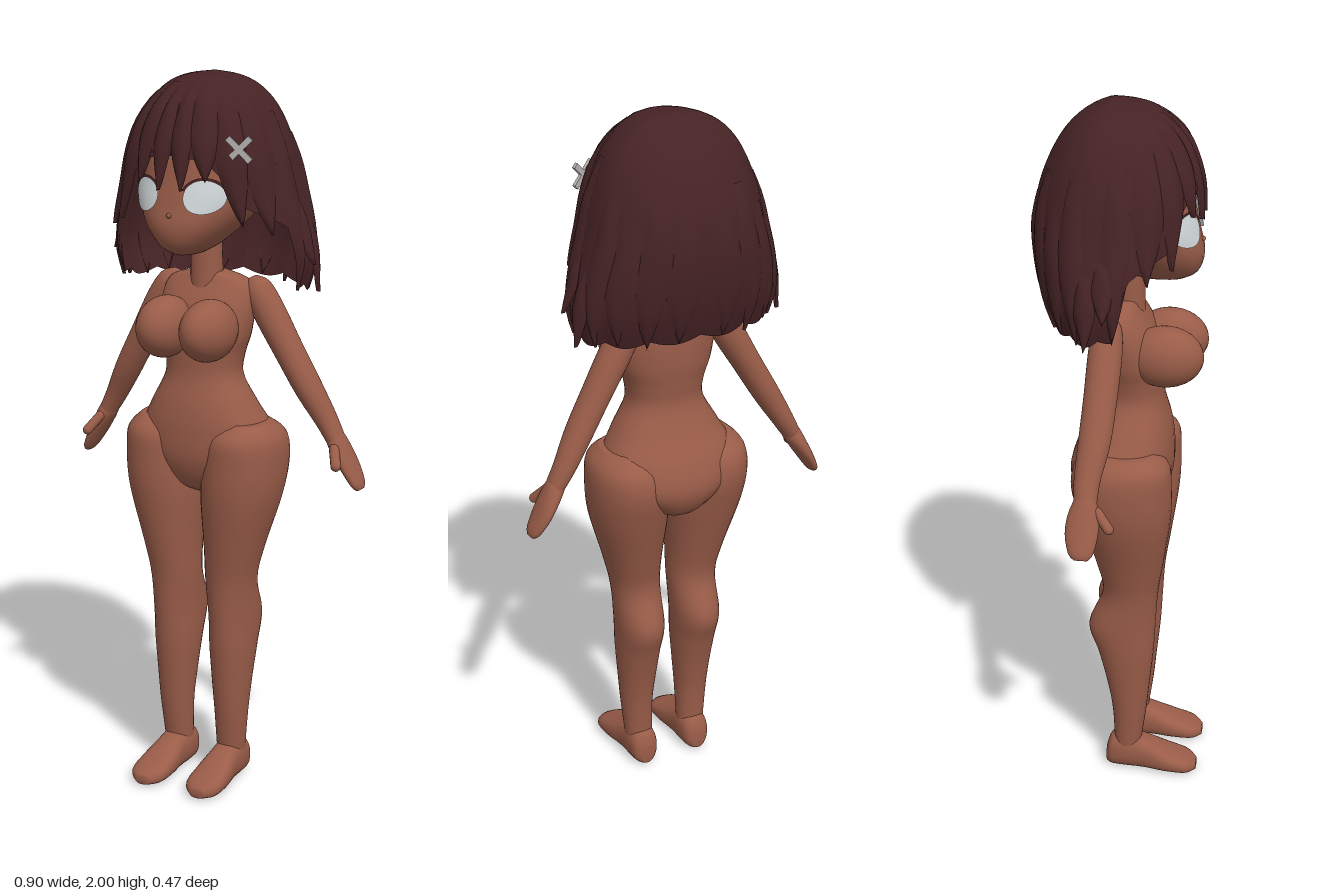
import * as THREE from 'three';

const mat = (name, color, side = THREE.FrontSide) => {
  const m = new THREE.MeshStandardMaterial({ color, side });
  m.name = name;
  return m;
};

// Catmull-Rom subdivision of a list of cross-section rows
function smooth(rows, n = 5) {
  const out = [];
  for (let i = 0; i < rows.length - 1; i++) {
    const [a, b, c, d] = [rows[Math.max(i - 1, 0)], rows[i], rows[i + 1], rows[Math.min(i + 2, rows.length - 1)]];
    for (let k = 0; k < n; k++) {
      const t = k / n;
      out.push(b.map((_, q) => 0.5 * (2 * b[q] + (c[q] - a[q]) * t + (2 * a[q] - 5 * b[q] + 4 * c[q] - d[q]) * t * t
        + (3 * b[q] - a[q] - 3 * c[q] + d[q]) * t ** 3)));
    }
  }
  out.push(rows[rows.length - 1]);
  return out;
}

// Linear lookup in rows sorted by their first value
function at(rows, y) {
  if (y <= rows[0][0]) return rows[0];
  for (let i = 1; i < rows.length; i++) {
    if (y <= rows[i][0]) {
      const [a, b] = [rows[i - 1], rows[i]];
      const t = (y - a[0]) / (b[0] - a[0] || 1);
      return a.map((v, q) => v + (b[q] - v) * t);
    }
  }
  return rows[rows.length - 1];
}

function buildGeometry(pos, idx) {
  const g = new THREE.BufferGeometry();
  g.setAttribute('position', new THREE.Float32BufferAttribute(pos, 3));
  g.setIndex(idx);
  g.computeVertexNormals();
  return g;
}

// Closed body from rows [y, centreX, halfWidth, zBack, zFront], lowest first
function loft(rows, power = 2, seg = 32) {
  const s = smooth(rows), pos = [], idx = [];
  const bend = v => Math.sign(v) * Math.abs(v) ** (2 / power);
  s.forEach(([y, cx, hw, z0, z1]) => {
    for (let j = 0; j < seg; j++) {
      const p = j / seg * Math.PI * 2;
      pos.push(cx + hw * bend(Math.sin(p)), y, (z0 + z1) / 2 + (z1 - z0) / 2 * bend(Math.cos(p)));
    }
  });
  const top = (s.length - 1) * seg, c0 = s.length * seg;
  for (const [y, cx, , z0, z1] of [s[0], s[s.length - 1]]) pos.push(cx, y, (z0 + z1) / 2);
  for (let j = 0; j < seg; j++) {
    const k = (j + 1) % seg;
    for (let r = 0; r < top; r += seg) idx.push(r + j, r + k, r + seg + j, r + k, r + seg + k, r + seg + j);
    idx.push(c0, k, j, c0 + 1, top + j, top + k);
  }
  return buildGeometry(pos, idx);
}

// Open sheet from a function of (u, v)
function sheet(f, nu, nv) {
  const pos = [], idx = [];
  for (let j = 0; j <= nv; j++) for (let i = 0; i <= nu; i++) pos.push(...f(i / nu, j / nv));
  for (let j = 0; j < nv; j++) for (let i = 0; i < nu; i++) {
    const a = j * (nu + 1) + i, b = a + nu + 1;
    idx.push(a, b, a + 1, a + 1, b, b + 1);
  }
  return buildGeometry(pos, idx);
}

// Hair volume: [y, halfWidth, zBack, zFront]
const hairRows = smooth([
  [1.40, .262, -.17, .14], [1.5, .288, -.208, .18], [1.6, .277, -.226, .197], [1.7, .25, -.23, .203],
  [1.8, .226, -.213, .197], [1.9, .185, -.168, .163], [1.96, .135, -.115, .118], [1.99, .075, -.06, .065], [2.0, 0, -.03, -.03]]);
function hairPoint(phi, y, lift = 0) {
  const [, hw, z0, z1] = at(hairRows, y), s = Math.sin(phi), c = Math.cos(phi), zc = -.03;
  return [(hw + lift) * s, y, zc + (c > 0 ? z1 - zc + lift : zc - z0 + lift) * c];
}
// Lower hair edge against the angle from the front
const hairEdge = [[0, 1.79], [.4, 1.78], [.6, 1.73], [.75, 1.66], [1.0, 1.635], [1.25, 1.60], [1.38, 1.45], [1.7, 1.435], [3.15, 1.445]];

const headRows = [
  [1.525, 0, .03, .04, .165], [1.55, 0, .072, -.01, .203], [1.6, 0, .122, -.08, .217], [1.66, 0, .162, -.13, .204],
  [1.72, 0, .172, -.15, .19], [1.82, 0, .165, -.15, .165], [1.92, 0, .1, -.08, .09]];

export function createModel() {
  const model = new THREE.Group();
  const skin = mat('skin', 0x995c48);
  const hair = mat('hair', 0x462325, THREE.DoubleSide);
  const eyeWhite = mat('eyeWhite', 0xd3d9db, THREE.DoubleSide);
  const metal = mat('clipGrey', 0xb4b2b0);
  const add = (name, geo, m, parent = model) => {
    const mesh = new THREE.Mesh(geo, m);
    mesh.name = name;
    parent.add(mesh);
    return mesh;
  };

  // Torso, neck, head
  add('torso', loft([
    [.85, 0, .03, -.06, .06], [.88, 0, .09, -.115, .11], [.95, 0, .175, -.146, .14], [1.03, 0, .188, -.128, .143],
    [1.1, 0, .155, -.09, .135], [1.18, 0, .112, -.06, .115], [1.24, 0, .115, -.062, .112], [1.3, 0, .133, -.07, .11],
    [1.38, 0, .14, -.07, .085], [1.44, 0, .122, -.062, .05], [1.465, 0, .05, -.04, .04]], 2.2), skin);
  add('neck', new THREE.CylinderGeometry(.042, .046, .14, 24), skin).position.set(0, 1.49, .015);
  add('head', loft(headRows, 2.2), skin);
  const nose = add('nose', new THREE.SphereGeometry(.007, 10, 8), skin);
  nose.position.set(0, 1.635, .212);

  // Flat shape laid onto the face
  const headSmooth = smooth(headRows);
  const onFace = (g, cx, cy, lift) => {
    const p = g.attributes.position;
    for (let i = 0; i < p.count; i++) {
      const x = cx + p.getX(i), y = cy + p.getY(i);
      const [, , hw, z0, z1] = at(headSmooth, y);
      const k = Math.max(0, 1 - Math.abs(x / hw) ** 2.2) ** (1 / 2.2);
      p.setXYZ(i, x, y, (z0 + z1) / 2 + (z1 - z0) / 2 * k + lift);
    }
    g.computeVertexNormals();
    return g;
  };

  for (const s of [1, -1]) {
    const side = s > 0 ? 'left' : 'right';
    const chest = add(side + 'Chest', new THREE.SphereGeometry(1, 28, 20), skin);
    chest.scale.set(.071, .085, .105);
    chest.position.set(s * .068, 1.32, .122);

    // Eye and upper lash
    add(side + 'Eye', onFace(new THREE.RingGeometry(.0005, 1, 32, 6).scale(.05, .044, 1), s * .088, 1.685, .009), eyeWhite);
    add(side + 'Lash', onFace(new THREE.RingGeometry(.98, 1.14, 24, 1, .35, Math.PI - .7).scale(.05, .044, 1), s * .088, 1.685, .011), hair);

    // Leg and foot
    add(side + 'Leg', loft([
      [.07, s * .086, .04, -.012, .062], [.2, s * .09, .047, -.018, .08], [.3, s * .09, .055, -.035, .09],
      [.4, s * .09, .063, -.06, .1], [.49, s * .09, .067, -.086, .105], [.6, s * .09, .07, -.046, .112],
      [.7, s * .1, .082, -.062, .127], [.85, s * .116, .109, -.105, .148], [.95, s * .124, .112, -.128, .15],
      [1.02, s * .128, .1, -.115, .143], [1.06, s * .13, .06, -.06, .1]], 2.1), skin);
    const foot = add(side + 'Foot', loft([
      [-.036, s * .086, .02, -.065, -.01], [-.02, s * .086, .038, -.105, -.004], [.02, s * .086, .044, -.118, -.002],
      [.07, s * .087, .045, -.105, -.002], [.14, s * .089, .054, -.074, -.002], [.2, s * .09, .05, -.052, -.003],
      [.23, s * .09, .022, -.034, -.008]], 2.4), skin);
    foot.rotation.x = Math.PI / 2;

    // Arm with hand and thumb
    const arm = new THREE.Group();
    arm.name = side + 'Arm';
    arm.position.set(s * .14, 1.415, -.025);
    arm.rotation.z = s * .525;
    model.add(arm);
    add(side + 'ArmLimb', loft([
      [-.47, 0, .024, -.055, .005], [-.4, 0, .03, -.06, .01], [-.3, 0, .037, -.056, .03], [-.18, 0, .04, -.05, .04],
      [-.06, 0, .044, -.046, .045], [.01, 0, .037, -.038, .038], [.04, 0, .012, -.014, .014]]), skin, arm);
    add(side + 'Hand', loft([
      [-.608, 0, .008, -.045, -.01], [-.59, 0, .015, -.062, .004], [-.54, 0, .02, -.074, .014],
      [-.49, 0, .024, -.07, .014], [-.45, 0, .026, -.056, .004], [-.43, 0, .018, -.045, -.005]]), skin, arm);
    const thumb = add(side + 'Thumb', new THREE.CapsuleGeometry(.014, .055, 6, 12), skin, arm);
    thumb.position.set(0, -.5, .024);
    thumb.rotation.x = -.65;
  }

  // Main hair shell with gentle strand ridges
  add('hairShell', sheet((u, v) => {
    const phi = (u * 2 - 1) * Math.PI, a = Math.abs(phi), wave = Math.abs(Math.sin(a * 6));
    const yb = at(hairEdge, a)[1] - (a > 1.38 ? .015 * wave : 0);
    const y = 2 - (2 - yb) * v ** 1.7;
    return hairPoint(phi, y, .007 * wave * v * v);
  }, 144, 30), hair);

  // Pointed locks following the shell: angle, top, tip, half angle, lift, flare
  const lock = (name, phi, y0, y1, w, lift, flare = 0) => add(name, sheet((u, v) => {
    const k = u * 2 - 1;
    const taper = Math.min(1, .55 + v) * Math.min(1, (1 - v) * 2.2) ** .8;
    const off = lift * (1 - k * k) * Math.min(1, v * 4) + flare * v ** 3 + .003;
    return hairPoint(phi + k * w * taper, y0 + (y1 - y0) * v, off);
  }, 8, 14), hair);
  for (const s of [1, -1]) {
    lock('fringeInner', s * .13, 1.975, 1.70, .15, .014);
    lock('fringeMiddle', s * .4, 1.975, 1.725, .2, .014);
    lock('fringeOuter', s * .72, 1.97, 1.61, .2, .015);
    lock('sideLock', s * 1.02, 1.95, 1.585, .22, .012);
    lock('earLock', s * 1.38, 1.9, 1.43, .17, .01);
    lock('flickUpper', s * 1.5, 1.66, 1.50, .14, .012, .018);
    lock('flickLower', s * 1.75, 1.62, 1.42, .16, .012, .03);
    for (let i = 0; i < 4; i++) lock('backLock', s * (1.95 + i * .32), 1.84 - (i % 2) * .07, 1.42 + (i % 2) * .012, .19, .009);
  }

  // Crossed hair clip
  const clip = new THREE.Group();
  clip.name = 'hairClip';
  clip.position.set(.174, 1.81, .148);
  clip.rotation.y = .35;
  for (const s of [1, -1]) add('clipBar', new THREE.BoxGeometry(.085, .016, .01), metal, clip).rotation.z = s * Math.PI / 4;
  model.add(clip);
  return model;
}
